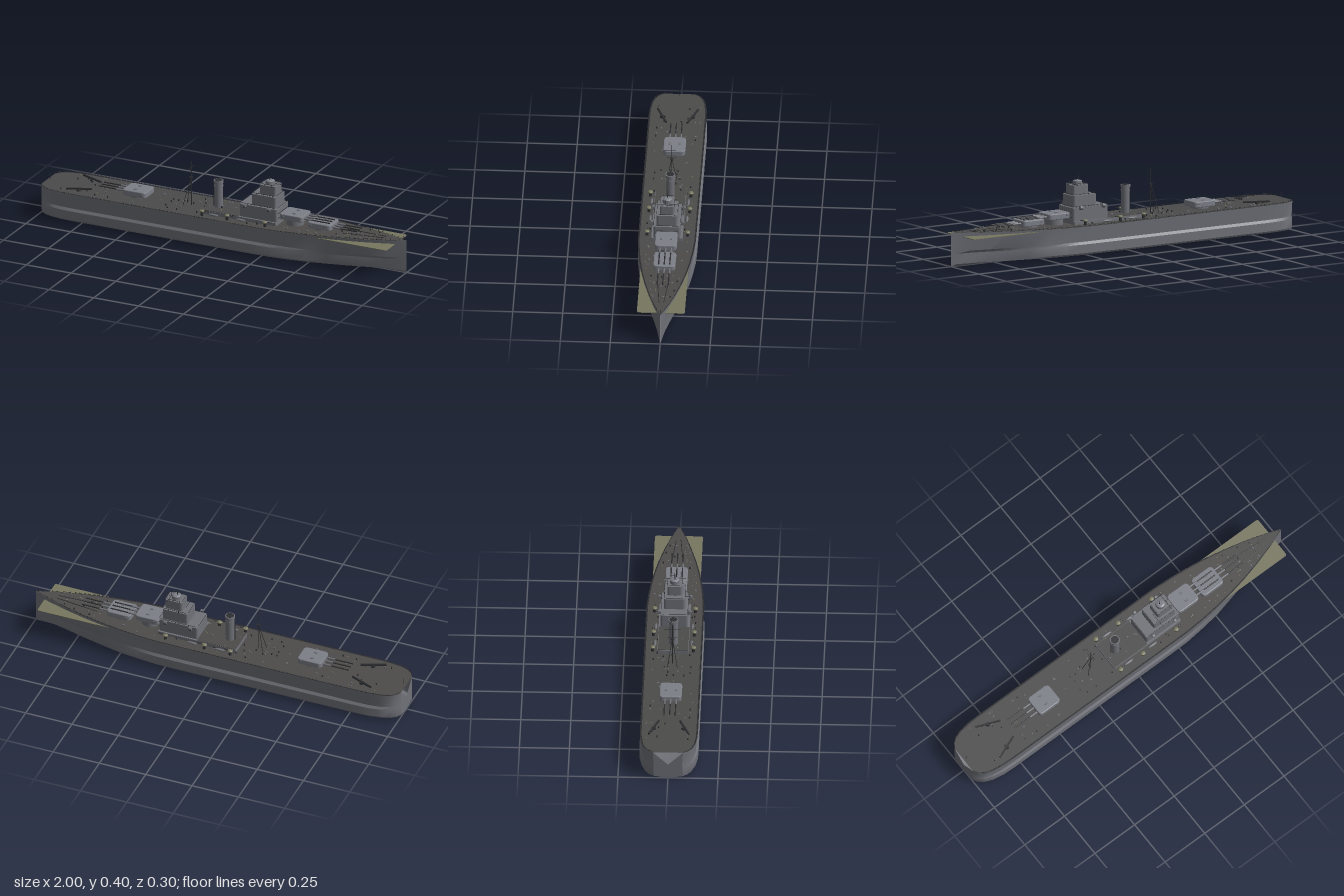
import * as THREE from 'three';
import { mergeGeometries, toCreasedNormals } from 'three/addons/utils/BufferGeometryUtils.js';

const mat = (name, color) => {
  const m = new THREE.MeshStandardMaterial({ color, side: THREE.DoubleSide });
  m.name = name;
  return m;
};

// Piecewise-linear lookup of [x, value] pairs
function lerpTable(t, x) {
  for (let i = 1; i < t.length; i++)
    if (x <= t[i][0]) return t[i - 1][1] + (t[i][1] - t[i - 1][1]) * (x - t[i - 1][0]) / (t[i][0] - t[i - 1][0]);
  return t[t.length - 1][1];
}
const BEAM = [[-1, 0.075], [-0.985, 0.1], [-0.96, 0.12], [-0.92, 0.134], [-0.86, 0.142], [-0.8, 0.144], [0.3, 0.144],
  [0.4, 0.138], [0.5, 0.128], [0.6, 0.113], [0.7, 0.093], [0.8, 0.068], [0.9, 0.038], [0.97, 0.012], [1, 0.001]];
const LOWER = [[-1, 0.95], [-0.85, 1], [0.25, 1], [0.5, 0.93], [0.7, 0.78], [0.85, 0.6], [0.95, 0.45], [1, 1]];
const beam = x => lerpTable(BEAM, x);
const deckY = x => 0.152 + 0.02 * Math.pow(Math.max(0, (x - 0.1) / 0.9), 1.6);

// Half section from deck edge down to the keel: [z, y]
function section(x) {
  const b = beam(x), k = lerpTable(LOWER, x), top = deckY(x);
  return [[b * 1.01, top], [b * (0.4 + 0.56 * (0.3 + 0.7 * k)), 0.077], [b * 1.025 * k, 0.064],
    [b * 1.025 * k, 0.02], [b * 0.985 * k, 0.011], [b * 0.5 * k, 0.005], [0, 0]];
}

function geometry(points) {
  const g = new THREE.BufferGeometry();
  g.setAttribute('position', new THREE.Float32BufferAttribute(points, 3));
  g.computeVertexNormals();
  return g;
}

function hullGeometry(xs) {
  const rows = xs.map(x => {
    const s = section(x);
    return [...s, ...s.slice(0, -1).reverse().map(([z, y]) => [-z, y])].map(([z, y]) => [x, y, z]);
  });
  const p = [];
  for (let i = 0; i < rows.length - 1; i++)
    for (let j = 0; j < rows[0].length - 1; j++) {
      const a = rows[i][j], b = rows[i + 1][j], c = rows[i][j + 1], d = rows[i + 1][j + 1];
      p.push(...a, ...c, ...b, ...b, ...c, ...d);
    }
  // flat transom
  const s = rows[0];
  for (let j = 0; j < s.length - 1; j++) p.push(-1, 0.08, 0, ...s[j + 1], ...s[j]);
  return toCreasedNormals(geometry(p), 0.45);
}

// Strip of deck between two multiples of the beam
function deckGeometry(xs, outer, inner, lift) {
  const p = [];
  for (let i = 0; i < xs.length - 1; i++) {
    const q = (x, k) => [x, deckY(x) + lift, beam(x) * k];
    const a = q(xs[i], outer), b = q(xs[i + 1], outer), c = q(xs[i], inner), d = q(xs[i + 1], inner);
    p.push(...a, ...b, ...c, ...b, ...d, ...c);
  }
  return geometry(p);
}

const box = (w, h, d, x, y, z) => new THREE.BoxGeometry(w, h, d).translate(x, y, z);
const cyl = (r1, r2, h, x, y, z, n = 16) => new THREE.CylinderGeometry(r1, r2, h, n).translate(x, y, z);
function rod(a, b, r, n = 6) {
  const A = new THREE.Vector3(...a), B = new THREE.Vector3(...b), d = B.clone().sub(A);
  const g = new THREE.CylinderGeometry(r, r, d.length(), n);
  g.applyQuaternion(new THREE.Quaternion().setFromUnitVectors(new THREE.Vector3(0, 1, 0), d.normalize()));
  const m = A.add(B).multiplyScalar(0.5);
  return g.translate(m.x, m.y, m.z);
}
// Upright block with rounded plan corners
function block(x0, x1, y0, y1, hz, r, bevel = 0) {
  const s = new THREE.Shape(), a = x0 + bevel, b = x1 - bevel, h = hz - bevel;
  s.moveTo(a + r, -h).lineTo(b - r, -h).quadraticCurveTo(b, -h, b, -h + r).lineTo(b, h - r)
    .quadraticCurveTo(b, h, b - r, h).lineTo(a + r, h).quadraticCurveTo(a, h, a, h - r)
    .lineTo(a, -h + r).quadraticCurveTo(a, -h, a + r, -h);
  const g = new THREE.ExtrudeGeometry(s, { depth: y1 - y0 - 2 * bevel, bevelEnabled: bevel > 0,
    bevelThickness: bevel, bevelSize: bevel, bevelSegments: 2, curveSegments: 5 });
  return g.rotateX(-Math.PI / 2).translate(0, y0 + bevel, 0);
}

export function createModel() {
  const root = new THREE.Group();
  root.name = 'battleship';
  const grey = mat('hull grey', 0x6f7178), light = mat('turret grey', 0x7b7e86), deckMat = mat('deck grey', 0x4c4b4a);
  const dark = mat('fitting dark grey', 0x2e2f32), olive = mat('olive', 0x77765f);
  const add = (name, parts, m, parent = root) => {
    const list = [].concat(parts).map(g => (g.index ? g.toNonIndexed() : g));
    const mesh = new THREE.Mesh(list.length > 1 ? mergeGeometries(list) : list[0], m);
    mesh.name = name;
    parent.add(mesh);
    return mesh;
  };

  // Hull and deck
  const xs = [...new Set([...BEAM.map(p => p[0]), ...Array.from({ length: 21 }, (_, i) => +(i * 0.1 - 1).toFixed(2))])].sort((a, b) => a - b);
  add('hull', hullGeometry(xs), grey);
  add('deck', deckGeometry(xs, 1.01, -1.01, 0), deckMat);
  add('deckEdge', [deckGeometry(xs, 1.01, 0.95, 0.001), deckGeometry(xs, -0.95, -1.01, 0.001)], dark);
  add('foredeckPlate', block(0.35, 0.945, 0.148, 0.151, 0.12, 0.012), olive);

  // Railing round the deck edge
  const rail = [];
  for (const s of [1, -1]) {
    const at = (x, h) => [x, deckY(x) + h, s * beam(x) * 0.99];
    for (let x = -0.99; x < 0.985; x += 0.022) rail.push(rod(at(x, 0), at(x, 0.009), 0.0009, 4));
    for (let i = 0; i < xs.length - 1; i++) rail.push(rod(at(xs[i], 0.005), at(xs[i + 1], 0.005), 0.0006, 4));
  }
  rail.push(rod([-0.985, 0.15, 0], [-0.985, 0.185, 0], 0.001), rod([0.985, 0.165, 0], [0.985, 0.195, 0], 0.001));
  add('railing', rail, dark);

  // Low deckhouse and stepped bridge tower
  add('deckhouse', block(-0.11, 0.31, 0.15, 0.17, 0.078, 0.005), grey);
  add('deckhouseRoof', block(-0.108, 0.1, 0.17, 0.172, 0.076, 0.005), deckMat);
  const tower = new THREE.Group();
  tower.name = 'bridgeTower';
  root.add(tower);
  const tiers = [[0.1, 0.31, 0.17, 0.237, 0.068], [0.16, 0.297, 0.237, 0.295, 0.053], [0.197, 0.288, 0.295, 0.345, 0.037]];
  const trim = [], windows = [];
  for (const [x0, x1, y0, y1, hz] of tiers) {
    add('tier', block(x0, x1, y0, y1, hz, 0.012), grey, tower);
    for (const s of [1, -1]) {
      trim.push(box(x1 - x0 - 0.02, 0.0015, 0.0015, (x0 + x1) / 2, y1 + 0.007, s * (hz - 0.001)));
      for (let x = x0 + 0.012; x < x1 - 0.005; x += 0.018) trim.push(box(0.0012, 0.008, 0.0012, x, y1 + 0.004, s * (hz - 0.001)));
    }
    for (const x of [x0 + 0.001, x1 - 0.001]) trim.push(box(0.0015, 0.0015, 2 * hz - 0.02, x, y1 + 0.007, 0));
  }
  for (const y of [0.19, 0.214]) trim.push(box(0.004, 0.0015, 0.11, 0.311, y, 0));
  for (let z = -0.03; z <= 0.031; z += 0.03) windows.push(box(0.003, 0.007, 0.008, 0.3105, 0.2, z));
  add('towerRails', trim, dark, tower);
  add('towerPorts', windows, dark, tower);
  add('directorBase', cyl(0.023, 0.025, 0.017, 0.24, 0.3535, 0, 24), grey, tower);
  add('directorCap', cyl(0.014, 0.022, 0.004, 0.24, 0.364, 0, 24), light, tower);
  add('towerMast', [rod([0.235, 0.362, 0], [0.235, 0.404, 0], 0.0012), rod([0.235, 0.362, 0], [0.235, 0.382, 0], 0.0025),
    rod([0.27, 0.347, -0.053], [0.27, 0.347, 0.053], 0.0012), rod([0.24, 0.349, 0], [0.305, 0.349, 0], 0.001),
    rod([0.19, 0.297, 0.08], [0.19, 0.297, 0], 0.001), rod([0.27, 0.345, 0.008], [0.27, 0.372, 0.008], 0.001),
    rod([0.21, 0.295, -0.052], [0.21, 0.305, -0.052], 0.002)], dark, tower);

  // Searchlights on the bridge wings
  for (const s of [1, -1]) for (const x of [0.135, 0.27]) {
    add('searchlightArm', box(0.012, 0.004, 0.022, x, 0.23, s * 0.074), dark);
    add('searchlight', new THREE.CylinderGeometry(0.009, 0.009, 0.014, 14).rotateZ(Math.PI / 2).translate(x, 0.237, s * 0.078), grey);
  }

  // Funnel with cap and steam pipe
  add('funnel', cyl(0.022, 0.022, 0.145, -0.048, 0.2425, 0, 28), grey);
  add('funnelCap', [cyl(0.025, 0.025, 0.012, -0.048, 0.308, 0, 28), cyl(0.0235, 0.0235, 0.003, -0.048, 0.285, 0, 28)], grey);
  add('funnelMouth', cyl(0.02, 0.02, 0.002, -0.048, 0.3145, 0, 28), dark);
  add('steamPipe', rod([-0.074, 0.17, 0], [-0.074, 0.295, 0], 0.002), dark);

  // Tripod mainmast
  add('mainmast', [rod([-0.2, 0.15, 0], [-0.2, 0.385, 0], 0.002), rod([-0.235, 0.15, 0.025], [-0.201, 0.305, 0], 0.0015),
    rod([-0.235, 0.15, -0.025], [-0.201, 0.305, 0], 0.0015), rod([-0.2, 0.355, -0.04], [-0.2, 0.355, 0.04], 0.001),
    rod([-0.2, 0.31, -0.025], [-0.2, 0.31, 0.025], 0.001), cyl(0.009, 0.009, 0.004, -0.2, 0.3, 0)], dark);

  // Triple main turrets; dir is the way the guns point
  function turret(x, y, dir, base) {
    const t = new THREE.Group();
    t.name = 'mainTurret';
    add('barbette', cyl(0.045, 0.045, y - base, 0, (y + base) / 2 - y, 0, 28), grey, t);
    add('gunhouse', block(-0.065, 0.065, 0, 0.03, 0.055, 0.016, 0.004), light, t);
    add('rangefinder', box(0.012, 0.007, 0.118, -0.042, 0.018, 0), grey, t);
    add('roofHatches', [-0.025, 0.025].map(z => box(0.016, 0.004, 0.01, 0.005, 0.031, z)), grey, t);
    for (const z of [-0.028, 0, 0.028]) {
      add('gunSleeve', rod([0.055, 0.015, z], [0.11, 0.015, z], 0.005, 10), grey, t);
      add('gunBarrel', rod([0.1, 0.015, z], [0.205, 0.015, z], 0.0032, 10), dark, t);
    }
    t.position.set(x, y, 0);
    if (dir < 0) t.rotation.y = Math.PI;
    root.add(t);
  }
  turret(0.38, 0.186, 1, 0.15);
  turret(0.535, 0.168, 1, 0.15);
  turret(-0.495, 0.162, -1, 0.15);

  for (const s of [1, -1]) {
    // Secondary twin mounts
    for (const x of [-0.09, 0.05, 0.26]) {
      add('mountBase', cyl(0.007, 0.008, 0.018, x, 0.16, s * 0.102, 12), dark);
      add('secondaryMount', new THREE.SphereGeometry(0.013, 14, 8).scale(1.1, 0.5, 1).translate(x, 0.176, s * 0.102), olive);
      add('secondaryGuns', [-0.004, 0.004].map(d => rod([x, 0.177, s * 0.102 + d], [x + 0.035, 0.179, s * 0.102 + d], 0.001)), dark);
    }
    // Slanted stern catapults
    const cat = box(0.13, 0.008, 0.008, 0, 0, 0).rotateY(s * 0.38).translate(-0.79, 0.163, s * 0.077);
    add('catapult', [cat, cyl(0.01, 0.012, 0.012, -0.79, 0.156, s * 0.077)], dark);
    // Boats alongside the deckhouse
    for (const x of [-0.03, 0.12])
      add('boat', new THREE.SphereGeometry(1, 12, 8).scale(0.028, 0.006, 0.007).translate(x, 0.16, s * 0.092), grey);
    add('anchorChain', rod([0.66, deckY(0.66) + 0.002, s * 0.03], [0.88, deckY(0.88) + 0.002, s * 0.012], 0.0018), dark);
  }

  // Scattered vents, lockers and bollards
  let seed = 7;
  const rnd = () => (seed = (seed * 16807) % 2147483647) / 2147483647;
  const vents = [], lockers = [], pale = [];
  for (let i = 0; i < 150; i++) {
    const x = -0.88 + rnd() * 1.72, z = (rnd() * 2 - 1) * beam(x) * 0.82;
    if ((x > 0.09 && x < 0.62 && Math.abs(z) < 0.08) || (x > -0.58 && x < -0.41 && Math.abs(z) < 0.07)) continue;
    const y = x > -0.1 && x < 0.1 && Math.abs(z) < 0.074 ? 0.172 : deckY(x);
    if (i % 3 === 0) vents.push(cyl(0.004, 0.003, 0.008, x, y + 0.004, z, 8));
    else if (i % 3 === 1) lockers.push(box(0.008, 0.006, 0.006, x, y + 0.003, z));
    else pale.push(cyl(0.003, 0.003, 0.006, x, y + 0.003, z, 8));
  }
  add('vents', vents, dark);
  add('lockers', lockers, grey);
  add('bollards', pale, olive);
  return root;
}
